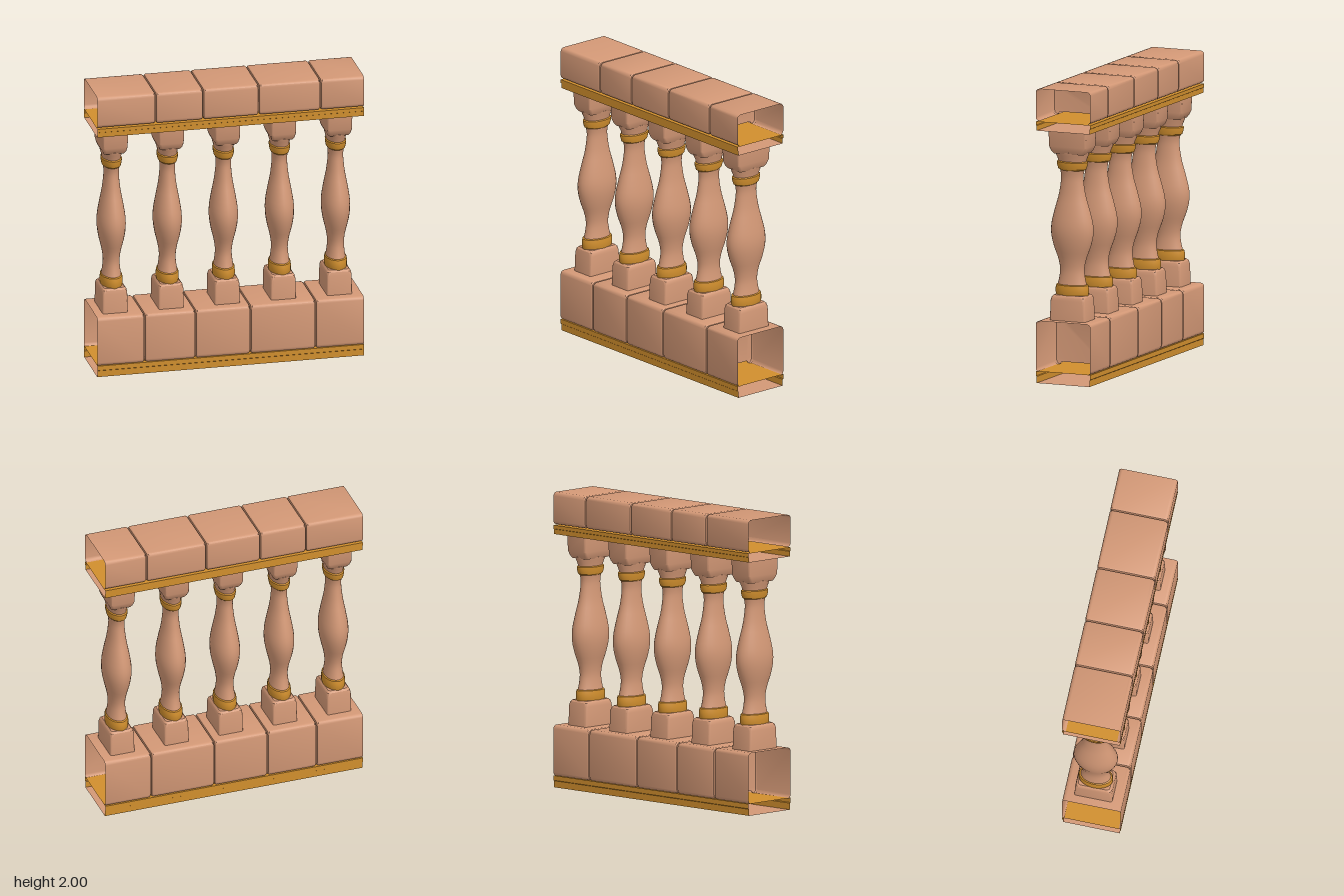
import * as THREE from 'three';
import { toCreasedNormals } from 'three/addons/utils/BufferGeometryUtils.js';

// Double-sided, as the stone courses and mouldings are open shells
const stone = new THREE.MeshStandardMaterial({ color: 0xd39876, side: THREE.DoubleSide });
stone.name = 'terracotta stone';
const gold = new THREE.MeshStandardMaterial({ color: 0xd08e2d, side: THREE.DoubleSide });
gold.name = 'gold trim';

const HALF_LENGTH = 0.915;
const HALF_DEPTH = 0.2;

function addMesh(parent, name, geometry, material) {
  const mesh = new THREE.Mesh(geometry, material);
  mesh.name = name;
  parent.add(mesh);
}

// Counter-clockwise rounded rectangle as [u, v] pairs, starting at the (-u, -v) corner
function roundedRect(u0, hu, hv, r) {
  const ring = [];
  [[-1, -1], [1, -1], [1, 1], [-1, 1]].forEach(([su, sv], corner) => {
    for (let k = 0; k < 4; k++) {
      const a = (corner + 2 + k / 3) * Math.PI / 2;
      ring.push([u0 + su * (hu - r) + r * Math.cos(a), sv * (hv - r) + r * Math.sin(a)]);
    }
  });
  return ring;
}

// Skins rings of [u, v] placed at rising positions w along the x or y axis
function loft(axis, sections, { closed = true, capStart = false, capEnd = false } = {}) {
  const pos = [];
  const put = (w, [u, v]) => (axis === 'x' ? pos.push(w, u, v) : pos.push(v, w, u));
  for (let i = 0; i + 1 < sections.length; i++) {
    const a = sections[i], b = sections[i + 1], n = a.ring.length;
    for (let j = 0; j < (closed ? n : n - 1); j++) {
      const k = (j + 1) % n;
      put(a.w, a.ring[j]); put(a.w, a.ring[k]); put(b.w, b.ring[k]);
      put(a.w, a.ring[j]); put(b.w, b.ring[k]); put(b.w, b.ring[j]);
    }
  }
  const cap = ({ w, ring }, flip) => {
    for (let j = 1; j + 1 < ring.length; j++) {
      put(w, ring[0]);
      put(w, ring[flip ? j + 1 : j]);
      put(w, ring[flip ? j : j + 1]);
    }
  };
  if (capStart) cap(sections[0], true);
  if (capEnd) cap(sections[sections.length - 1], false);
  const geometry = new THREE.BufferGeometry();
  geometry.setAttribute('position', new THREE.Float32BufferAttribute(pos, 3));
  return toCreasedNormals(geometry, 0.6);
}

// Row of bottomless stones with bevelled joints; the two outer ends stay open
function stoneCourse(name, y0, y1, joints) {
  const group = new THREE.Group();
  group.name = name;
  const yc = (y0 + y1) / 2, hy = (y1 - y0) / 2;
  const full = roundedRect(yc, hy, HALF_DEPTH, 0.025);
  const mid = roundedRect(yc, hy - 0.005, HALF_DEPTH - 0.005, 0.025);
  const inset = roundedRect(yc, hy - 0.02, HALF_DEPTH - 0.02, 0.02);
  const edges = [-HALF_LENGTH, ...joints, HALF_LENGTH];
  for (let i = 0; i + 1 < edges.length; i++) {
    const a = edges[i], b = edges[i + 1];
    const first = i === 0, last = i === edges.length - 2;
    const sections = [];
    if (first) sections.push({ w: a, ring: full });
    else sections.push({ w: a + 0.001, ring: inset }, { w: a + 0.005, ring: mid }, { w: a + 0.014, ring: full });
    if (last) sections.push({ w: b, ring: full });
    else sections.push({ w: b - 0.014, ring: full }, { w: b - 0.005, ring: mid }, { w: b - 0.001, ring: inset });
    const geometry = loft('x', sections, { closed: false, capStart: !first, capEnd: !last });
    addMesh(group, `${name}Stone`, geometry, stone);
  }
  return group;
}

// Stepped gold moulding, open at the ends, with a stone underside
function trim(name, y0, y1) {
  const group = new THREE.Group();
  group.name = name;
  const h = y1 - y0, d = HALF_DEPTH;
  const side = [[y0, d - 0.006], [y0 + h * 0.55, d - 0.006], [y0 + h * 0.6, d], [y1, d]];
  const outline = [...side.map(([u, v]) => [u, -v]), ...side.slice().reverse()];
  const run = (ring) => [{ w: -HALF_LENGTH, ring }, { w: HALF_LENGTH, ring }];
  addMesh(group, `${name}Moulding`, loft('x', run(outline), { closed: false }), gold);
  const under = [outline[outline.length - 1], outline[0]];
  addMesh(group, `${name}Underside`, loft('x', run(under), { closed: false }), stone);
  return group;
}

// Turned section squeezed to an oval, narrower along x
function turned(points, smooth) {
  let pts = points.map(([r, y]) => new THREE.Vector2(r, y));
  if (smooth) pts = new THREE.SplineCurve(pts).getPoints(28);
  const geometry = new THREE.LatheGeometry(pts, 28);
  geometry.scale(0.63, 1, 1);
  return smooth ? geometry : toCreasedNormals(geometry, 0.5);
}

// Block lofted upward from [y, half width x, half depth z, corner radius]
const block = (levels) => loft('y',
  levels.map(([w, hx, hz, r]) => ({ w, ring: roundedRect(0, hz, hx, r) })),
  { capStart: true, capEnd: true });

const balusterParts = [
  ['pedestal', block([[0.424, 0.086, 0.13, 0.012], [0.56, 0.085, 0.126, 0.015],
    [0.585, 0.081, 0.121, 0.02], [0.597, 0.07, 0.108, 0.02]]), stone],
  ['lowerBand', turned([[0.113, 0.592], [0.118, 0.61], [0.118, 0.64], [0.113, 0.662], [0.095, 0.67]], false), gold],
  ['shaft', turned([[0.104, 0.66], [0.092, 0.71], [0.086, 0.77], [0.1, 0.84], [0.13, 0.92], [0.149, 1.0],
    [0.147, 1.08], [0.122, 1.18], [0.096, 1.27], [0.081, 1.36], [0.08, 1.41], [0.09, 1.455]], true), stone],
  ['upperBand', turned([[0.085, 1.44], [0.1, 1.45], [0.109, 1.478], [0.11, 1.497], [0.1, 1.503]], false), gold],
  ['collar', turned([[0.098, 1.495], [0.104, 1.52], [0.116, 1.545], [0.122, 1.565], [0.11, 1.575]], false), stone],
  ['capital', block([[1.556, 0.072, 0.112, 0.02], [1.575, 0.08, 0.126, 0.02],
    [1.605, 0.085, 0.137, 0.014], [1.716, 0.087, 0.14, 0.012]]), stone],
];

export function createModel() {
  const model = new THREE.Group();
  model.name = 'balustrade';

  // Base and top rail
  model.add(trim('baseTrim', 0.003, 0.083));
  model.add(stoneCourse('base', 0.08, 0.425, [-0.588, -0.24, 0.137, 0.585]));
  model.add(trim('railTrim', 1.716, 1.777));
  model.add(stoneCourse('rail', 1.782, 2.0, [-0.513, -0.187, 0.195, 0.618]));

  // Five evenly spaced balusters
  for (let i = 0; i < 5; i++) {
    const baluster = new THREE.Group();
    baluster.name = 'baluster';
    baluster.position.x = -0.005 + (i - 2) * 0.385;
    for (const [name, geometry, material] of balusterParts) addMesh(baluster, name, geometry, material);
    model.add(baluster);
  }
  return model;
}
